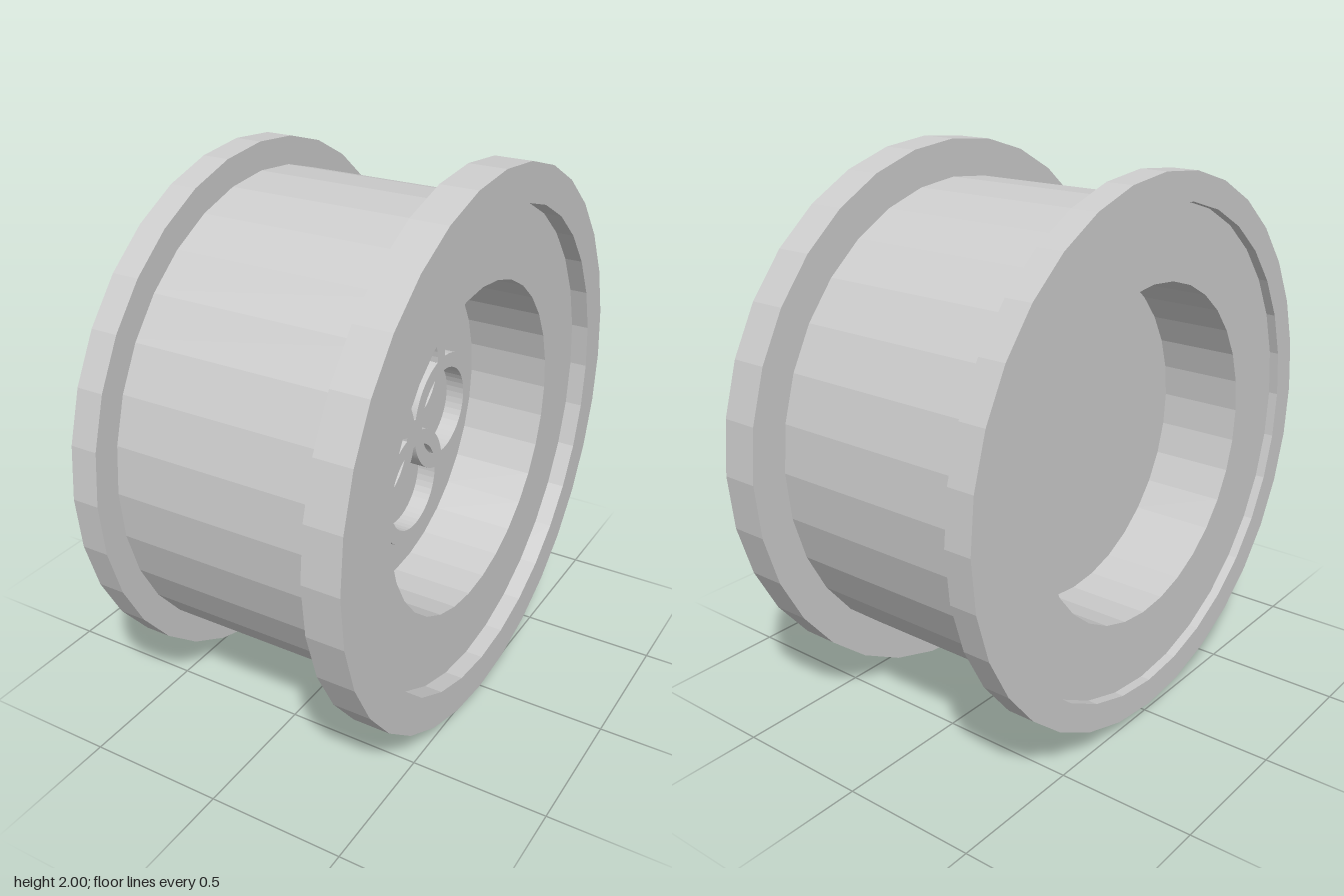
import * as THREE from 'three';

const SEGMENTS = 32;
const RING = 0.22;   // emblem ring outer radius, also its offset from the axis
const INNER = 0.165; // emblem ring inner radius

const material = new THREE.MeshStandardMaterial({ color: 0xcccccc, flatShading: true });

// Turned part: profile of [radius, x], spun around the x axis
function turned(name, profile) {
  const points = profile.map(([r, x]) => new THREE.Vector2(r, x));
  const geometry = new THREE.LatheGeometry(points, SEGMENTS);
  geometry.rotateZ(-Math.PI / 2);
  const mesh = new THREE.Mesh(geometry, material);
  mesh.name = name;
  return mesh;
}

function flange(name, x0, x1, inner, outer) {
  return turned(name, [[inner, x0], [outer, x0], [outer, x1], [inner, x1], [inner, x0]]);
}

// Adds an arc of the ring at direction k (quarter turns); angles are relative to that direction
function ringArc(path, k, radius, from, to, clockwise = false) {
  const turn = k * 90;
  const rad = THREE.MathUtils.degToRad;
  path.absarc(RING * Math.cos(rad(turn)), RING * Math.sin(rad(turn)), radius,
    rad(turn + from), rad(turn + to), clockwise);
}

// Four interlaced rings merged into one pierced plate
function createEmblem() {
  const shape = new THREE.Shape();
  for (let k = 0; k < 4; k++) {
    ringArc(shape, k, RING, -90, 90);

    // large petal opening, cut by the two neighbouring rings
    const petal = new THREE.Path();
    ringArc(petal, k, INNER, -92.4, 92.4);
    ringArc(petal, k + 1, RING, -104.5, -165.5, true);
    ringArc(petal, k - 1, RING, 165.5, 104.5, true);
    petal.closePath();

    // small lens opening where two rings overlap
    const lens = new THREE.Path();
    ringArc(lens, k, INNER, 115.7, 154.3);
    ringArc(lens, k + 1, INNER, -154.3, -115.7);
    lens.closePath();

    shape.holes.push(petal, lens);
  }
  const geometry = new THREE.ExtrudeGeometry(shape, { depth: 0.07, bevelEnabled: false, curveSegments: 12 });
  geometry.rotateY(Math.PI / 2);
  const mesh = new THREE.Mesh(geometry, material);
  mesh.name = 'emblem';
  mesh.position.x = 0.14;
  return mesh;
}

export function createModel() {
  const model = new THREE.Group();
  model.name = 'flangedSpool';

  // drum with a deep round recess in each end
  model.add(turned('drum', [
    [0, -0.17], [0.6, -0.17], [0.6, -0.48], [0.866, -0.48],
    [0.866, 0.45], [0.6, 0.45], [0.6, 0.14], [0, 0.14],
  ]));

  // end flanges standing slightly proud of the drum ends
  model.add(flange('leftFlange', 0.38, 0.515, 0.866, 1));
  model.add(flange('rightFlange', -0.515, -0.415, 0.866, 0.967));

  model.add(createEmblem());

  model.position.y = 1;
  const root = new THREE.Group();
  root.add(model);
  return root;
}
